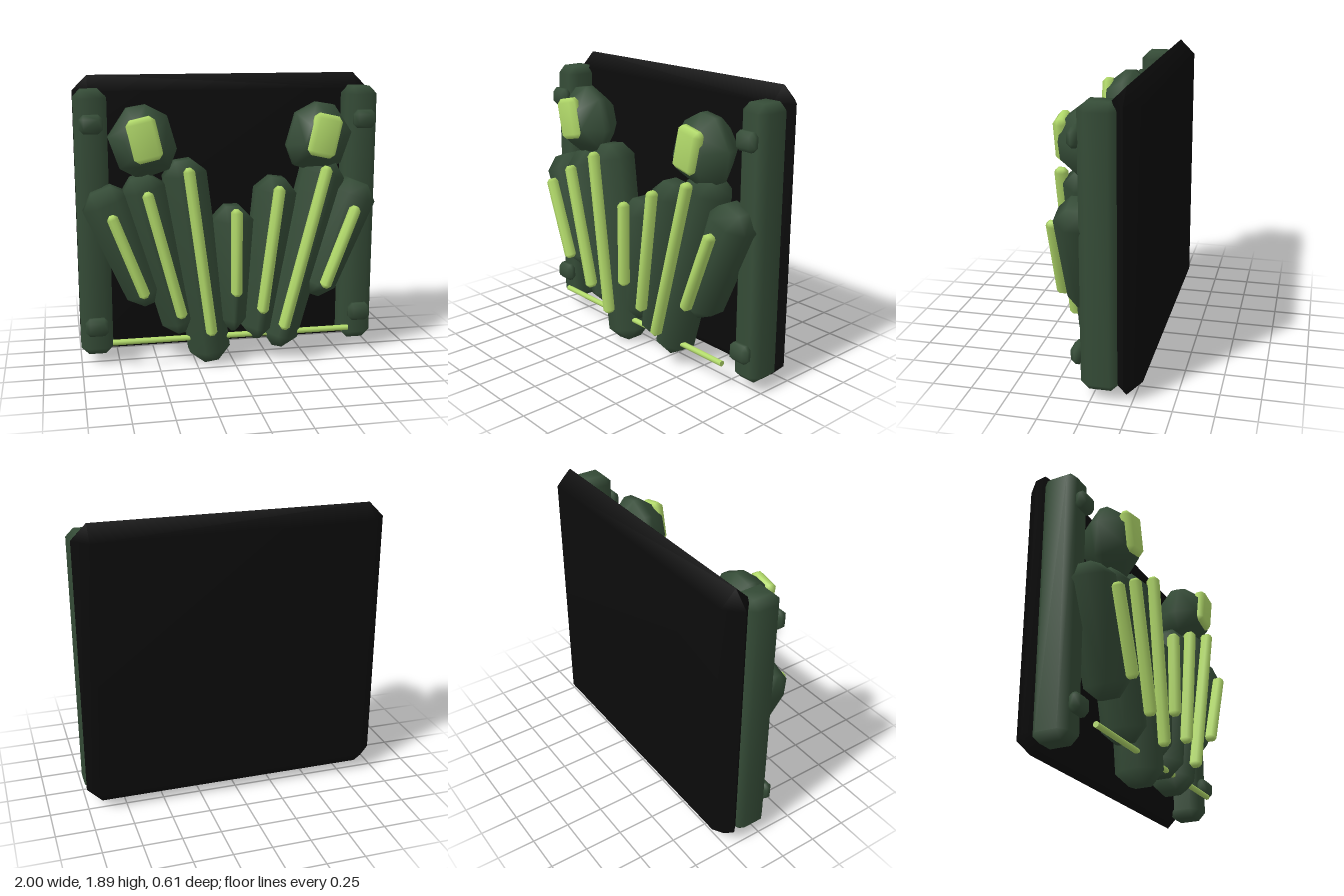
import * as THREE from 'three';
import { ConvexGeometry } from 'three/addons/geometries/ConvexGeometry.js';
import { mergeVertices } from 'three/addons/utils/BufferGeometryUtils.js';

const black = new THREE.MeshStandardMaterial({ color: 0x0b0b0b });
black.name = 'black panel';
const green = new THREE.MeshStandardMaterial({ color: 0x354c37 });
green.name = 'dark green';
const lime = new THREE.MeshStandardMaterial({ color: 0xb2da6a });
lime.name = 'lime';

// Smooth-shaded convex body around a set of points
function smoothHull(points) {
  const geo = new ConvexGeometry(points);
  geo.deleteAttribute('normal');
  const merged = mergeVertices(geo, 1e-4);
  merged.computeVertexNormals();
  return merged;
}

// Box with chamfered edges; the half width may taper from bottom to top
function chamferBox(wBottom, wTop, h, d, b) {
  const pts = [];
  for (const sx of [-1, 1]) for (const sy of [-1, 1]) for (const sz of [-1, 1]) {
    const w = (sy > 0 ? wTop : wBottom) / 2;
    const y = h / 2, z = d / 2;
    pts.push(
      new THREE.Vector3(sx * w, sy * (y - b), sz * (z - b)),
      new THREE.Vector3(sx * (w - b), sy * y, sz * (z - b)),
      new THREE.Vector3(sx * (w - b), sy * (y - b), sz * z));
  }
  return smoothHull(pts);
}

export function createModel() {
  const model = new THREE.Group();
  model.name = 'wallPanel';

  const add = (name, geo, mat, x, y, z, rz = 0) => {
    const mesh = new THREE.Mesh(geo, mat);
    mesh.name = name;
    mesh.position.set(x, y, z);
    mesh.rotation.z = rz;
    model.add(mesh);
    return mesh;
  };

  // Body stretched between a bottom and a top point in the front plane
  const strut = (name, [x0, y0], [x1, y1], w0, w1, d, b, z, mat) => {
    const dx = x1 - x0, dy = y1 - y0;
    add(name, chamferBox(w0, w1, Math.hypot(dx, dy), d, b), mat,
      (x0 + x1) / 2, (y0 + y1) / 2, z, Math.atan2(-dx, dy));
  };

  // Back panel
  add('backPanel', chamferBox(2, 2, 1.87, 0.2, 0.098), black, 0, 0.955, -0.205);

  // Side rails with their bolts
  for (const s of [-1, 1]) {
    const side = s > 0 ? 'left' : 'right';
    add(side + 'Rail', chamferBox(0.21, 0.21, 1.75, 0.235, 0.05), green, s * 0.895, 0.935, -0.053);
    for (const y of [0.27, 1.6]) {
      add(side + 'Bolt', chamferBox(0.15, 0.15, 0.12, 0.08, 0.028), green, s * 0.895, y, 0.087);
    }
  }

  // Thin cross bar
  const bar = new THREE.CylinderGeometry(0.019, 0.019, 1.6, 10);
  bar.rotateZ(Math.PI / 2);
  add('crossBar', bar, lime, 0, 0.178, 0.145);

  // Fanned fingers: bottom, top, bottom width, top width, strip bottom, strip top
  const fingers = [
    [[-0.555, 0.425], [-0.85, 1.19], 0.24, 0.31, [-0.59, 0.51], [-0.795, 1.05]],
    [[-0.345, 0.215], [-0.605, 1.27], 0.22, 0.29, [-0.355, 0.36], [-0.57, 1.19]],
    [[-0.145, 0.005], [-0.325, 1.365], 0.27, 0.28, [-0.163, 0.23], [-0.307, 1.335]],
    [[0, 0.21], [0, 1.055], 0.2, 0.27, [0, 0.485], [0, 1.06]],
    [[0.155, 0.145], [0.3, 1.235], 0.22, 0.27, [0.172, 0.36], [0.282, 1.2]],
    [[0.3, 0.08], [0.63, 1.34], 0.245, 0.285, [0.315, 0.24], [0.595, 1.32]],
    [[0.555, 0.425], [0.85, 1.19], 0.24, 0.31, [0.59, 0.51], [0.795, 1.05]],
  ];
  for (const [p0, p1, w0, w1, s0, s1] of fingers) {
    strut('finger', p0, p1, w0, w1, 0.285, 0.088, 0.094, green);
    strut('fingerStrip', s0, s1, 0.07, 0.07, 0.08, 0.022, 0.266, lime);
  }

  // Tilted lamp pods with a glowing window
  const ring = [[-0.1, 0.21], [0.02, 0.23], [0.155, 0.16], [0.215, -0.05],
    [0.165, -0.18], [-0.02, -0.24], [-0.15, -0.17], [-0.22, 0.03]];
  for (const s of [-1, 1]) {
    const side = s > 0 ? 'left' : 'right';
    const pts = [];
    for (const [z, k] of [[-0.05, 0.58], [0.07, 1], [0.125, 1], [0.25, 0.58]]) {
      for (const [x, y] of ring) pts.push(new THREE.Vector3(-s * x * k, y * k, z));
    }
    add(side + 'Pod', smoothHull(pts), green, s * 0.575, 1.49, 0);
    add(side + 'PodWindow', chamferBox(0.185, 0.185, 0.275, 0.09, 0.03), lime,
      s * 0.577, 1.515, 0.245, -s * 0.22);
  }

  return model;
}
